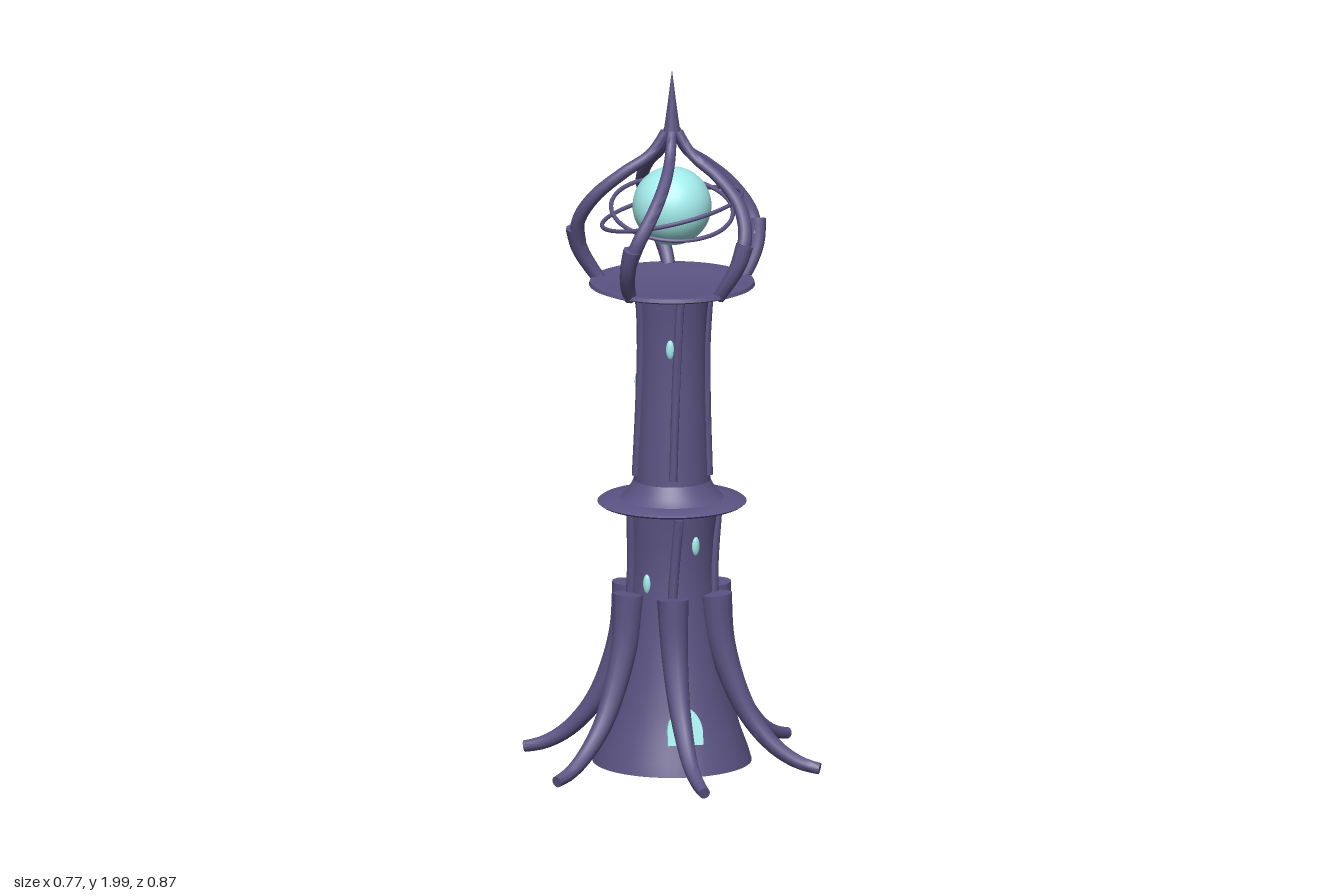
import * as THREE from 'three';
import { toCreasedNormals } from 'three/addons/utils/BufferGeometryUtils.js';

const stone = new THREE.MeshStandardMaterial({ color: 0x5c5484 });
const glow = new THREE.MeshStandardMaterial({ color: 0xa4ecec });
const V = (x, y, z) => new THREE.Vector3(x, y, z);

// Point at radius r, height y, angle a (0 faces the front, growing toward +x)
const polar = (r, y, a) => V(r * Math.sin(a), y, r * Math.cos(a));

function add(parent, name, geometry, material = stone) {
  const mesh = new THREE.Mesh(geometry, material);
  mesh.name = name;
  parent.add(mesh);
  return mesh;
}

// Smooth turned shape from [radius, height] pairs, bottom to top
function turned(profile, sides = 48) {
  const pts = profile.map(([r, y]) => new THREE.Vector2(r, y));
  return toCreasedNormals(new THREE.LatheGeometry(pts, sides), 0.6);
}

// Capped tapering tube through [radius, height, angle offset] points
function taperedTube(path, angle, r0, r1, segs = 24, sides = 10) {
  const curve = new THREE.CatmullRomCurve3(path.map(([r, y, a]) => polar(r, y, angle + a)));
  const geo = new THREE.TubeGeometry(curve, segs, 1, sides);
  const pos = geo.attributes.position;
  const p = V(0, 0, 0);
  const c = V(0, 0, 0);
  for (let i = 0; i <= segs; i++) {
    const radius = THREE.MathUtils.lerp(r0, r1, i / segs);
    curve.getPointAt(i / segs, c);
    const end = i === 0 || i === segs;
    // End rings collapse onto the neighbouring ring's plane to form flat caps
    if (end) curve.getPointAt(i === 0 ? 1 / segs : 1 - 1 / segs, p);
    for (let j = 0; j <= sides; j++) {
      const k = i * (sides + 1) + j;
      if (end) {
        pos.setXYZ(k, p.x, p.y, p.z);
      } else {
        const q = V(pos.getX(k), pos.getY(k), pos.getZ(k)).sub(c).multiplyScalar(radius).add(c);
        pos.setXYZ(k, q.x, q.y, q.z);
      }
    }
  }
  return toCreasedNormals(geo, 0.9);
}

// Repeats a swept part around the axis
function ringOf(parent, name, count, start, path, r0, r1, segs, sides) {
  const set = new THREE.Group();
  set.name = name + 's';
  for (let i = 0; i < count; i++) {
    const angle = start + (i * Math.PI * 2) / count;
    add(set, name, taperedTube(path, angle, r0, r1, segs, sides));
  }
  parent.add(set);
}

export function createModel() {
  const tower = new THREE.Group();
  tower.name = 'tower';

  // Flared base, shaft, collar and crown platform
  add(tower, 'base', turned([
    [0, 0.025], [0.222, 0.025], [0.212, 0.06], [0.19, 0.12], [0.168, 0.2], [0.148, 0.3],
    [0.132, 0.4], [0.122, 0.5], [0.118, 0.58], [0.121, 0.67], [0.132, 0.76], [0, 0.76],
  ]));
  add(tower, 'collar', turned([
    [0.12, 0.752], [0.2, 0.76], [0.208, 0.766], [0.2, 0.772], [0.145, 0.777], [0.125, 0.795], [0.106, 0.83],
  ]));
  add(tower, 'shaft', turned([
    [0.108, 0.8], [0.104, 0.9], [0.098, 1.05], [0.095, 1.2], [0.099, 1.3], [0.108, 1.38],
  ]));
  add(tower, 'platform', turned([
    [0.1, 1.374], [0.21, 1.378], [0.231, 1.386], [0.228, 1.396], [0.21, 1.397], [0.17, 1.39], [0, 1.388],
  ]));

  // Raised ribs with a slight twist
  ringOf(tower, 'lowerRib', 5, 0,
    [[0.122, 0.47, -0.2], [0.12, 0.6, -0.13], [0.129, 0.765, -0.02]], 0.014, 0.014, 12, 8);
  ringOf(tower, 'upperRib', 5, 0,
    [[0.108, 0.81, -0.17], [0.099, 1.05, -0.1], [0.097, 1.22, -0.03], [0.107, 1.4, 0.05]], 0.012, 0.012, 16, 8);

  // Curling root buttresses
  ringOf(tower, 'buttress', 6, 0, [
    [0.138, 0.54, -0.18], [0.155, 0.38, -0.15], [0.2, 0.24, -0.1], [0.246, 0.155, -0.06],
    [0.31, 0.085, -0.03], [0.375, 0.045, 0], [0.455, 0.025, 0.025],
  ], 0.046, 0.015, 28, 12);

  // Crown: swept arms meeting under the spire, gripped by claws on the platform
  ringOf(tower, 'crownArm', 5, Math.PI, [
    [0.008, 1.84, 0.4], [0.06, 1.762, 0.35], [0.137, 1.71, 0.3], [0.217, 1.64, 0.2],
    [0.262, 1.56, 0.07], [0.262, 1.48, -0.06],
  ], 0.014, 0.021, 24, 10);
  ringOf(tower, 'crownClaw', 5, Math.PI, [
    [0.275, 1.555, 0.03], [0.262, 1.48, -0.05], [0.232, 1.42, -0.12], [0.2, 1.375, -0.16],
  ], 0.026, 0.018, 14, 8);
  add(tower, 'spire', turned([
    [0, 1.8], [0.024, 1.82], [0.018, 1.86], [0.01, 1.92], [0, 2],
  ], 10));

  // Glowing orb with two tilted orbit rings
  add(tower, 'orb', new THREE.SphereGeometry(0.11, 40, 28), glow).position.y = 1.61;
  for (const [radius, tiltX, tiltZ] of [[0.2, -0.06, 0.22], [0.17, 0.31, 0]]) {
    const geo = new THREE.TorusGeometry(radius, 0.006, 8, 64).rotateX(Math.PI / 2);
    const ring = add(tower, 'orbitRing', geo);
    ring.position.y = 1.6;
    ring.rotation.set(tiltX, 0, tiltZ);
  }

  // Arched door leaning with the base wall
  const arch = new THREE.Shape();
  arch.moveTo(-0.05, 0).lineTo(0.05, 0).lineTo(0.05, 0.04);
  arch.quadraticCurveTo(0.045, 0.09, 0, 0.112);
  arch.quadraticCurveTo(-0.045, 0.09, -0.05, 0.04);
  const door = add(tower, 'door',
    new THREE.ExtrudeGeometry(arch, { depth: 0.03, bevelEnabled: false, curveSegments: 10 }), glow);
  door.position.set(0, 0.105, 0.174);
  door.rotation.x = -0.26;

  // Almond windows climbing in a spiral: [height, angle in degrees, wall radius]
  const windows = [
    [0.35, 148, 0.14], [0.45, 230, 0.126], [0.55, 313, 0.119], [0.66, 22, 0.121],
    [0.91, 108, 0.104], [1.01, 186, 0.1], [1.11, 268, 0.097], [1.22, 346, 0.096],
  ];
  for (const [y, degrees, r] of windows) {
    const angle = THREE.MathUtils.degToRad(degrees);
    const pane = add(tower, 'window', new THREE.OctahedronGeometry(1, 3), glow);
    pane.scale.set(0.012, 0.028, 0.008);
    pane.position.copy(polar(r, y, angle));
    pane.rotation.y = angle;
  }

  return tower;
}
